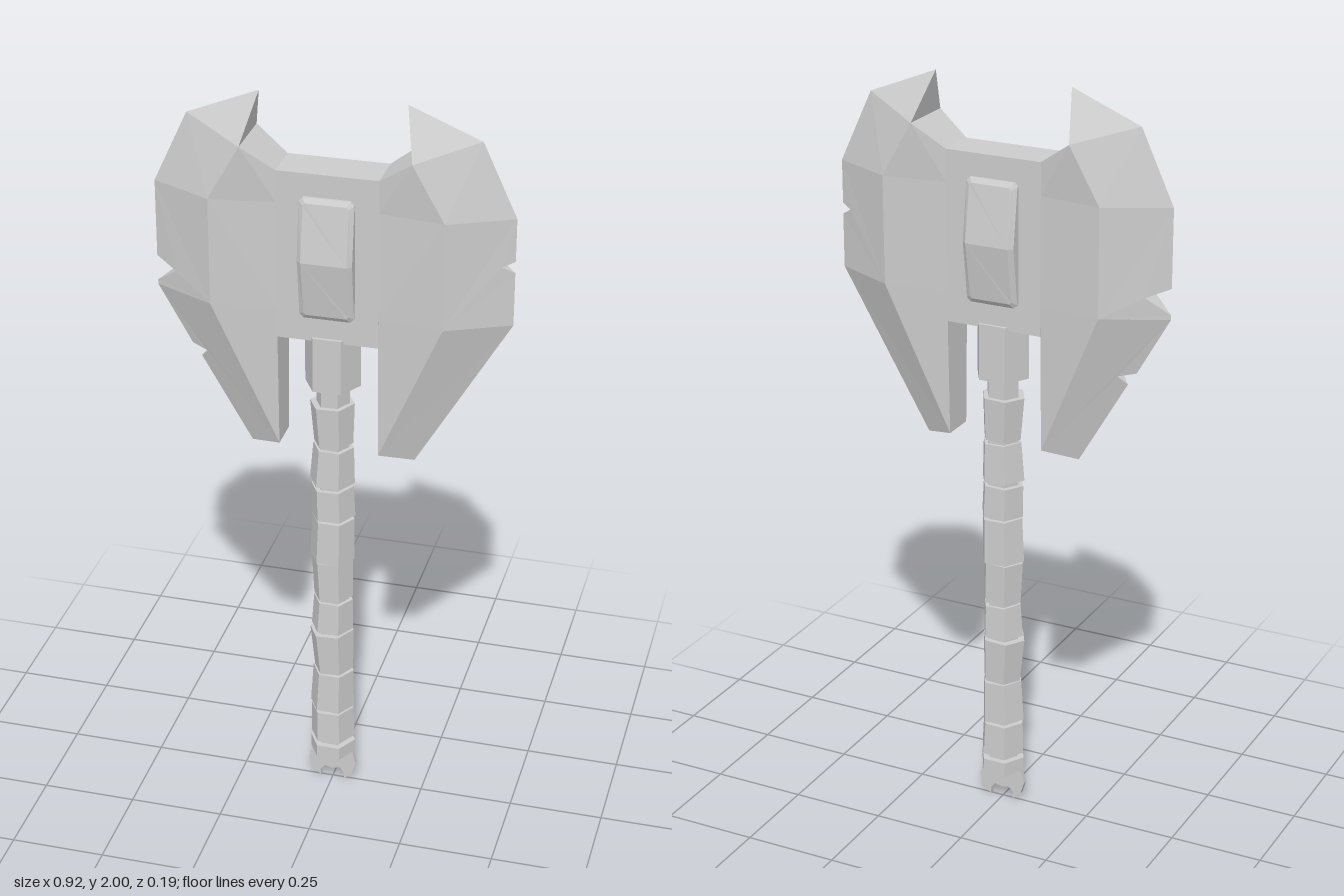
import * as THREE from 'three';

const material = new THREE.MeshStandardMaterial({ color: 0xcccccc, flatShading: true, side: THREE.DoubleSide });

function add(parent, name, geometry) {
  const mesh = new THREE.Mesh(geometry, material);
  mesh.name = name;
  parent.add(mesh);
  return mesh;
}

function fromTriangles(list) {
  const geometry = new THREE.BufferGeometry();
  geometry.setAttribute('position', new THREE.Float32BufferAttribute(list.flat(2), 3));
  geometry.computeVertexNormals();
  return geometry;
}

// Faceted blade with a sharp rim; edge and lower are chips cut into the rim
function bladeGeometry(side, edge, lower) {
  const tip = [0.185, 2, 0], shoulder = [0.37, 1.925, 0];
  const rimTop = [0.458, 1.735, 0], rimLow = [0.458, 1.45, 0], point = [0.215, 1.035, 0];
  const ridgeTop = [0.215, 1.88, 0.078], ridgeMid = [0.297, 1.735, 0.078], ridgeLow = [0.297, 1.45, 0.076];
  const rootTop = [0.13, 1.82, 0.055], rootMid = [0.13, 1.735, 0.055], rootLow = [0.13, 1.45, 0.055];
  const rootEnd = [0.13, 1.37, 0.053], heel = [0.13, 1.06, 0.045];
  const facets = [
    [tip, shoulder, ridgeTop],
    [shoulder, ridgeMid, ridgeTop],
    [shoulder, rimTop, ridgeMid],
    [rootTop, ridgeTop, ridgeMid, rootMid],
    [rootMid, ridgeMid, ridgeLow, rootLow],
    [ridgeMid, rimTop, ...edge, rimLow, ridgeLow],
    [ridgeLow, rimLow, ...lower, point, heel],
    [rootLow, ridgeLow, heel, rootEnd],
  ];
  const contour = [rootTop, ridgeTop, tip, shoulder, rimTop, ...edge, rimLow, ...lower, point, heel, rootEnd];
  const back = ([x, y, z]) => [x, y, -z];
  const tris = [];
  const push = (a, b, c) => {
    const [u, v, w] = [a, b, c].map(p => new THREE.Vector3(...p));
    if (v.sub(u).cross(w.sub(u)).length() < 1e-8) return;
    const t = [a, b, c].map(([x, y, z]) => [side * x, y, z]);
    tris.push(side > 0 ? t : t.reverse());
  };
  for (const f of facets) {
    const flat = f.map(p => new THREE.Vector2(p[0], p[1]));
    for (const [i, j, k] of THREE.ShapeUtils.triangulateShape(flat, [])) {
      const ccw = THREE.ShapeUtils.area([flat[i], flat[j], flat[k]]) > 0;
      const [a, b, c] = ccw ? [f[i], f[j], f[k]] : [f[k], f[j], f[i]];
      push(a, b, c);
      push(back(c), back(b), back(a));
    }
  }
  // Walls joining front and back wherever the rim has thickness
  for (let i = 0; i < contour.length - 1; i++) {
    const a = contour[i], b = contour[i + 1];
    push(a, b, back(b));
    push(a, back(b), back(a));
  }
  return fromTriangles(tris);
}

// Raised panel: three chamfered loops and a roof folded across the middle
function panelGeometry() {
  const cy = 1.598;
  const loop = (w, h, c, zEnd, zMid) => [
    [w, 0, zMid], [w, h - c, zEnd], [w - c, h, zEnd], [-w + c, h, zEnd], [-w, h - c, zEnd],
    [-w, 0, zMid], [-w, c - h, zEnd], [c - w, -h, zEnd], [w - c, -h, zEnd], [w, c - h, zEnd],
  ].map(([x, y, z]) => [x, y + cy, z]);
  const loops = [
    loop(0.07, 0.162, 0.01, 0.045, 0.045),
    loop(0.07, 0.162, 0.01, 0.062, 0.083),
    loop(0.058, 0.15, 0.006, 0.071, 0.094),
  ];
  const tris = [];
  for (let r = 0; r < 2; r++) {
    for (let i = 0; i < 10; i++) {
      const j = (i + 1) % 10, lo = loops[r], hi = loops[r + 1];
      tris.push([lo[i], lo[j], hi[j]], [lo[i], hi[j], hi[i]]);
    }
  }
  const top = loops[2];
  for (const half of [[0, 1, 2, 3, 4, 5], [5, 6, 7, 8, 9, 0]]) {
    for (let i = 1; i < 5; i++) tris.push([top[half[0]], top[half[i]], top[half[i + 1]]]);
  }
  return fromTriangles(tris);
}

// Six-sided drum between two heights, with corners at left and right
function hexDrum(parent, name, y0, y1, rBottom, rTop, tilt = 0) {
  const geometry = new THREE.CylinderGeometry(rTop, rBottom, y1 - y0, 6);
  geometry.rotateY(Math.PI / 6);
  const mesh = add(parent, name, geometry);
  mesh.position.y = (y0 + y1) / 2;
  mesh.rotation.z = tilt;
  return mesh;
}

export function createModel() {
  const model = new THREE.Group();
  model.name = 'battleAxe';

  // Head
  const head = new THREE.Group();
  head.name = 'axeHead';
  model.add(head);
  add(head, 'headBlock', new THREE.BoxGeometry(0.26, 0.45, 0.11)).position.y = 1.595;
  add(head, 'leftBlade', bladeGeometry(1,
    [[0.458, 1.622, 0], [0.428, 1.61, 0.015], [0.458, 1.592, 0]], []));
  add(head, 'rightBlade', bladeGeometry(-1,
    [[0.458, 1.53, 0], [0.4, 1.506, 0.029], [0.458, 1.462, 0]],
    [[0.37, 1.295, 0], [0.325, 1.285, 0.016], [0.347, 1.262, 0]]));
  for (const turn of [0, Math.PI]) {
    add(head, turn ? 'backPanel' : 'frontPanel', panelGeometry()).rotation.y = turn;
  }

  // Handle: collar, core and a stack of uneven wraps
  const handle = new THREE.Group();
  handle.name = 'handle';
  model.add(handle);
  hexDrum(handle, 'collar', 1.23, 1.38, 0.073, 0.073);
  hexDrum(handle, 'core', 0.08, 1.25, 0.044, 0.044);
  const wraps = [
    [1.06, 1.175, 0.052, 0.059, 0.03], [0.945, 1.05, 0.06, 0.054, -0.03],
    [0.845, 0.932, 0.059, 0.057, 0.03], [0.715, 0.837, 0.06, 0.057, -0.02],
    [0.597, 0.712, 0.053, 0.056, 0.03], [0.497, 0.588, 0.057, 0.053, -0.03],
    [0.366, 0.488, 0.053, 0.06, 0.05], [0.247, 0.362, 0.06, 0.056, -0.03],
    [0.147, 0.238, 0.061, 0.058, 0.02],
  ];
  wraps.forEach(w => hexDrum(handle, 'gripWrap', ...w));
  hexDrum(handle, 'endRing', 0.095, 0.132, 0.062, 0.062);

  // Thin crescent plate at the foot of the handle
  const outline = [
    [-0.055, 0.1], [-0.066, 0.055], [-0.056, 0.022], [-0.032, 0], [-0.034, 0.02], [-0.02, 0.035],
    [0, 0.029], [0.02, 0.035], [0.032, 0.02], [0.034, 0], [0.056, 0.022], [0.066, 0.055], [0.055, 0.1],
  ].map(([x, y]) => new THREE.Vector2(x, y));
  const plate = new THREE.ExtrudeGeometry(new THREE.Shape(outline), { depth: 0.014, bevelEnabled: false });
  plate.translate(0, 0, -0.007);
  add(model, 'pommel', plate);

  return model;
}
